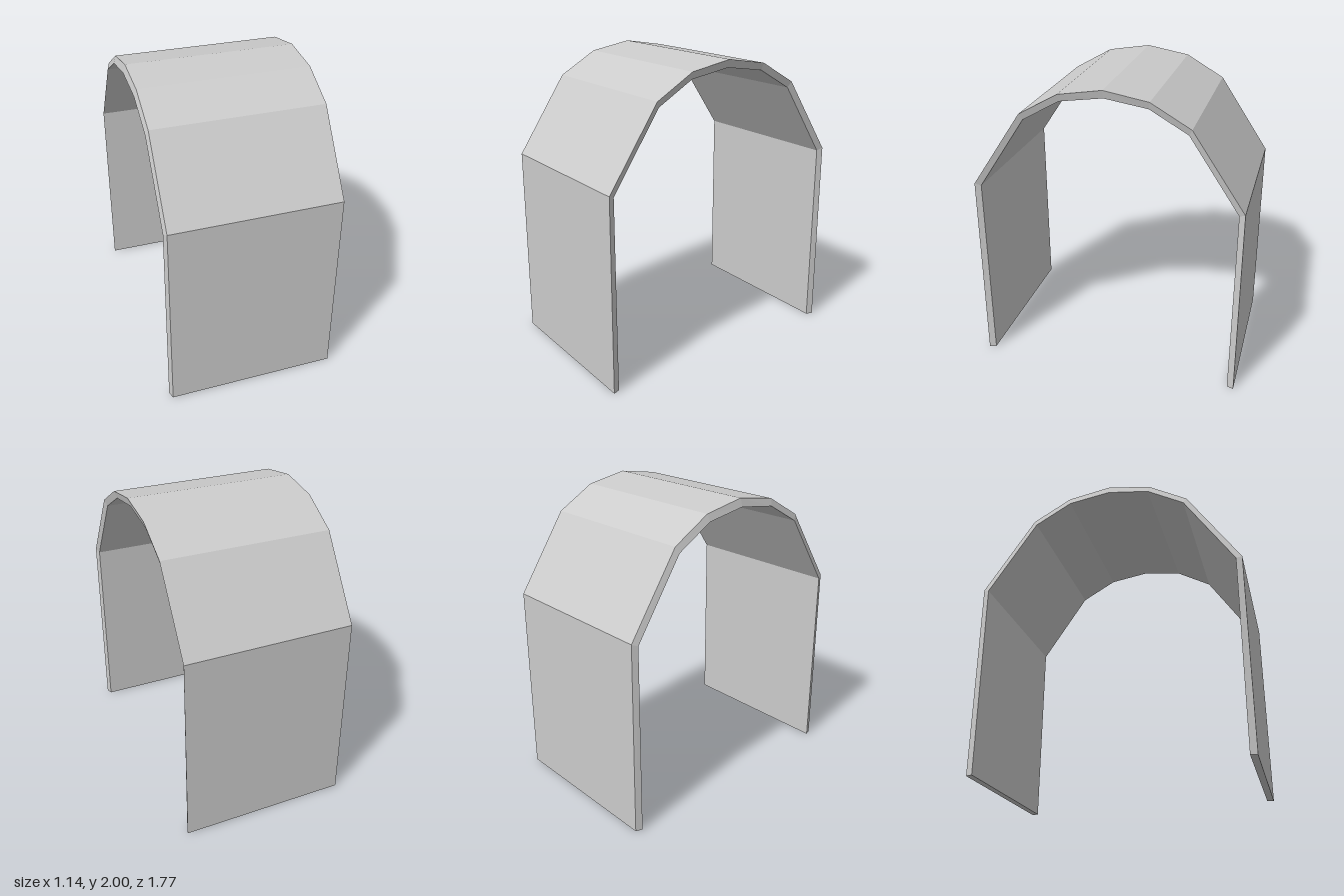
import * as THREE from 'three';

// Half profiles as [z, y], from the foot of the front wall up to the crown
const OUTER = [[0.887, 0], [0.882, 1.3], [0.541, 1.806], [0.285, 1.952], [0, 2]];
const INNER = [[0.843, 0], [0.843, 1.284], [0.52, 1.767], [0.277, 1.905], [0, 1.947]];
const HALF_WIDTH = 0.57;
const SKEW = 0.015; // the inner skin sits slightly towards -x, which slants both ends

// Mirrors a half profile into a full arch, front foot to back foot
const fullArch = (half) => [...half, ...half.slice(0, -1).reverse().map(([z, y]) => [-z, y])];

function archGeometry() {
  const outer = fullArch(OUTER);
  const inner = fullArch(INNER);

  // Four-cornered cross-section at each bend of the arch
  const rings = outer.map(([oz, oy], i) => {
    const [iz, iy] = inner[i];
    return [
      [HALF_WIDTH, oy, oz],
      [HALF_WIDTH - SKEW, iy, iz],
      [-HALF_WIDTH, iy, iz],
      [-HALF_WIDTH + SKEW, oy, oz],
    ];
  });

  const positions = [];
  const quad = (a, b, c, d) => positions.push(...a, ...b, ...c, ...a, ...c, ...d);

  // Outer skin, inner skin and both end faces
  for (let i = 0; i < rings.length - 1; i++) {
    const a = rings[i];
    const b = rings[i + 1];
    for (let j = 0; j < 4; j++) {
      const k = (j + 1) % 4;
      quad(a[j], a[k], b[k], b[j]);
    }
  }
  // Feet
  quad(...[...rings[0]].reverse());
  quad(...rings[rings.length - 1]);

  const geometry = new THREE.BufferGeometry();
  geometry.setAttribute('position', new THREE.Float32BufferAttribute(positions, 3));
  geometry.computeVertexNormals();
  return geometry;
}

export function createModel() {
  const model = new THREE.Group();
  model.name = 'archedCanopy';

  const material = new THREE.MeshStandardMaterial({ color: 0xcccccc, flatShading: true });
  const shell = new THREE.Mesh(archGeometry(), material);
  shell.name = 'archShell';
  model.add(shell);

  return model;
}
